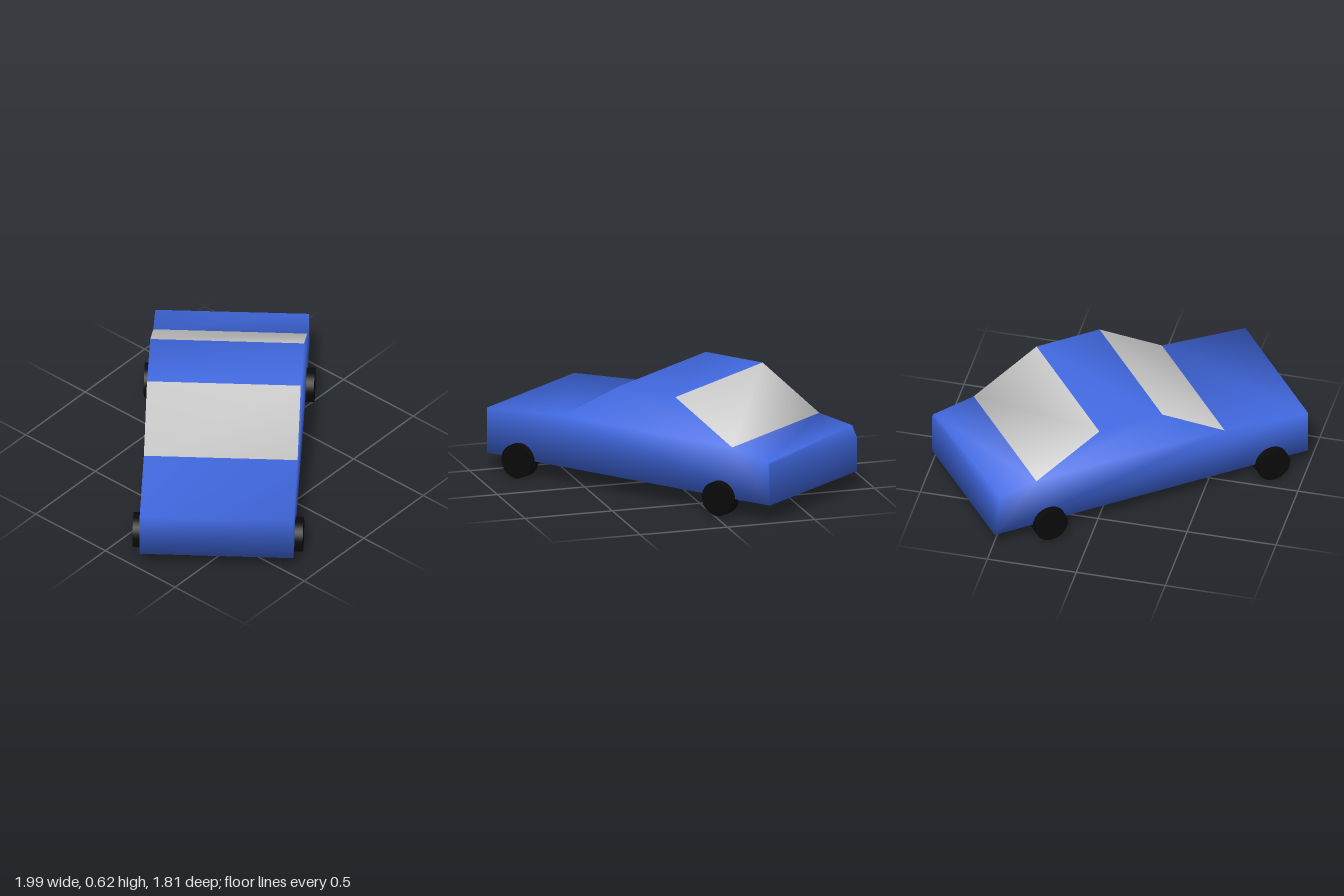
import * as THREE from 'three';

const HALF_WIDTH = 0.42;

// Side profile (length, height) running from the nose over the roof to the tail.
// The tail's upper edge is cut back more on one side than on the other.
const profile = (tailU, tailY, edgeY) => [
  [-0.937, 0.1], [-0.937, 0.355], [-0.438, 0.39], [-0.065, 0.615],
  [0.311, 0.615], [0.687, 0.39], [tailU, tailY], [0.937, edgeY], [0.937, 0.1],
].map(([x, y]) => new THREE.Vector2(x, y));

export function createModel() {
  const group = new THREE.Group();
  const car = new THREE.Group();
  car.name = 'car';
  car.rotation.y = 0.661; // parked at an angle
  group.add(car);

  const paint = new THREE.MeshStandardMaterial({ color: 0x4169e1 });
  const glass = new THREE.MeshStandardMaterial({ color: 0xcccccc });
  const rubber = new THREE.MeshStandardMaterial({ color: 0x0a0a0a });

  // Shell: two side profiles joined by strips, with shared smooth normals
  const sides = [profile(0.905, 0.355, 0.29), profile(0.925, 0.342, 0.33)];
  const n = sides[0].length;
  const positions = [];
  sides.forEach((pts, s) => pts.forEach((p) =>
    positions.push(p.x, p.y, s ? HALF_WIDTH : -HALF_WIDTH)));

  const strip = (i) => {
    const j = (i + 1) % n;
    return [i, i + n, j + n, i, j + n, j];
  };
  const parts = { body: [], windshield: strip(2), rearWindow: strip(4) };
  for (let i = 0; i < n; i++) if (i !== 2 && i !== 4) parts.body.push(...strip(i));

  // Flat side panels, facing outwards
  sides.forEach((pts, s) => {
    for (const [a, b, c] of THREE.ShapeUtils.triangulateShape(pts, [])) {
      const clockwise = THREE.ShapeUtils.isClockWise([pts[a], pts[b], pts[c]]);
      const tri = clockwise === (s === 0) ? [a, b, c] : [a, c, b];
      parts.body.push(...tri.map((k) => k + s * n));
    }
  });

  const shell = new THREE.BufferGeometry();
  shell.setAttribute('position', new THREE.Float32BufferAttribute(positions, 3));
  shell.setIndex(Object.values(parts).flat());
  shell.computeVertexNormals();

  // Split the shell into painted body and windows
  for (const [name, index] of Object.entries(parts)) {
    const geometry = new THREE.BufferGeometry();
    geometry.setAttribute('position', shell.attributes.position.clone());
    geometry.setAttribute('normal', shell.attributes.normal.clone());
    geometry.setIndex(index);
    const mesh = new THREE.Mesh(geometry, name === 'body' ? paint : glass);
    mesh.name = name;
    car.add(mesh);
  }

  // Wheels
  const wheelGeometry = new THREE.CylinderGeometry(0.095, 0.095, 0.08, 32);
  wheelGeometry.rotateX(Math.PI / 2);
  for (const [end, x] of [['front', -0.715], ['rear', 0.613]]) {
    for (const [side, z] of [['Left', 0.425], ['Right', -0.425]]) {
      const wheel = new THREE.Mesh(wheelGeometry, rubber);
      wheel.name = `${end}${side}Wheel`;
      wheel.position.set(x, 0.095, z);
      car.add(wheel);
    }
  }
  return group;
}
